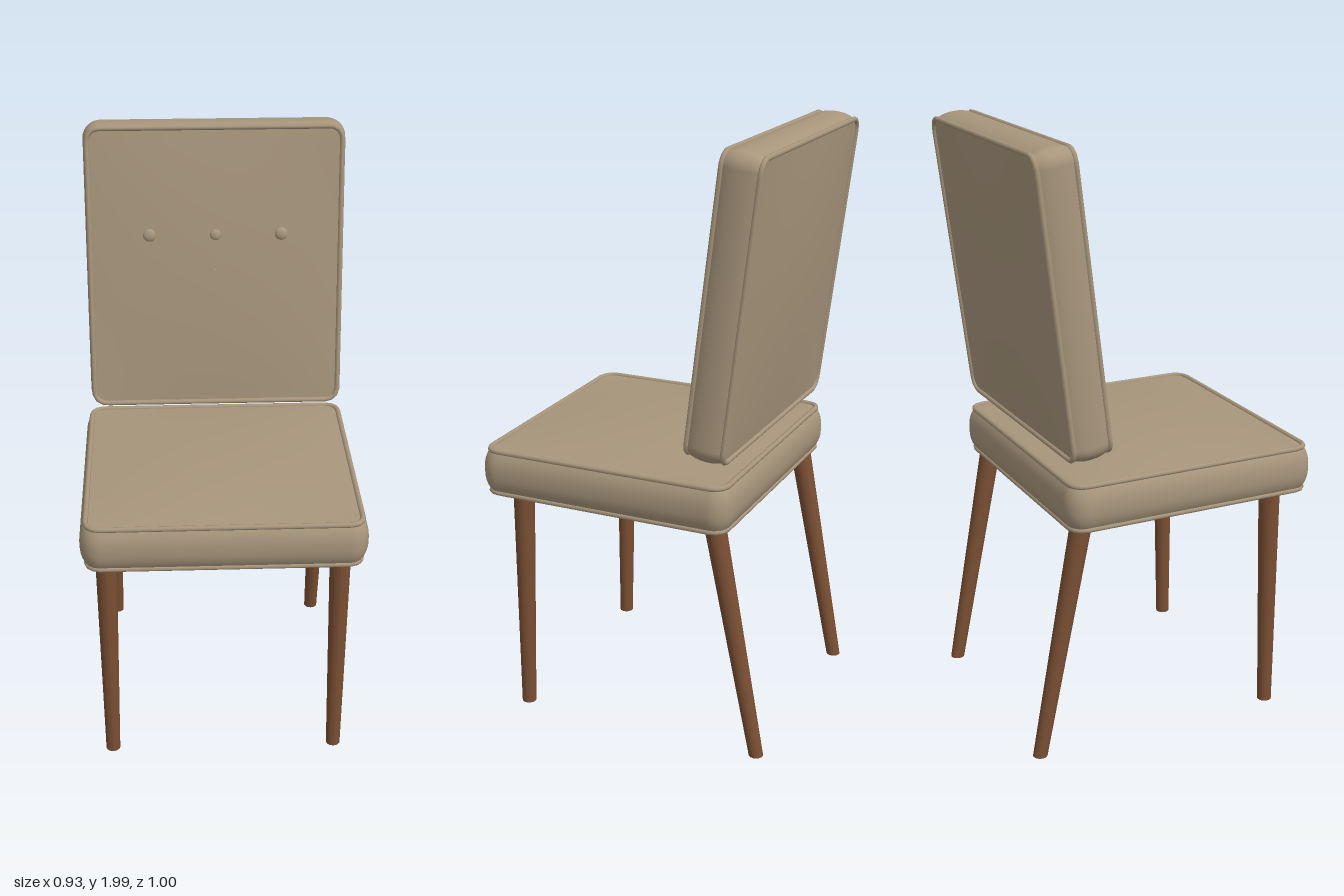
import * as THREE from 'three';

const fabric = new THREE.MeshStandardMaterial({ color: 0xa8967c });
const wood = new THREE.MeshStandardMaterial({ color: 0x7a4f33 });

// Rounded rectangle in the xz plane, with extra points along the straight sides
function outline(a, b, r) {
  const pts = [], arc = 7, side = 10;
  const corners = [[1, 1], [-1, 1], [-1, -1], [1, -1]];
  corners.forEach(([sx, sz], k) => {
    for (let i = 0; i <= arc; i++) {
      const t = (k + i / arc) * Math.PI / 2;
      pts.push(new THREE.Vector2(sx * (a - r) + r * Math.cos(t), sz * (b - r) + r * Math.sin(t)));
    }
    const [nx, nz] = corners[(k + 1) % 4], t = (k + 1) * Math.PI / 2;
    const from = pts[pts.length - 1];
    const to = new THREE.Vector2(nx * (a - r) + r * Math.cos(t), nz * (b - r) + r * Math.sin(t));
    for (let i = 1; i < side; i++) pts.push(from.clone().lerp(to, i / side));
  });
  return pts;
}

// Smooth skin over closed rings that run upward (or outward on an underside)
function loft(rings) {
  const n = rings[0].length, pos = [], idx = [];
  rings.forEach(ring => ring.forEach(p => pos.push(p.x, p.y, p.z)));
  for (let i = 0; i < rings.length - 1; i++) {
    for (let j = 0; j < n; j++) {
      const a = i * n + j, b = i * n + (j + 1) % n;
      idx.push(a, a + n, b, b, a + n, b + n);
    }
  }
  const g = new THREE.BufferGeometry();
  g.setAttribute('position', new THREE.Float32BufferAttribute(pos, 3));
  g.setIndex(idx);
  g.computeVertexNormals();
  return g;
}

function add(group, name, geometry, material) {
  const mesh = new THREE.Mesh(geometry, material);
  mesh.name = name;
  group.add(mesh);
  return mesh;
}

// Piped cushion: half width a, half depth b, half thickness h; y is the thickness
function cushion(name, { a, b, h, r, bulge, crown, pipe }) {
  const group = new THREE.Group();
  group.name = name;

  // Bulging side band
  const band = [];
  for (let i = 0; i <= 12; i++) {
    const u = i / 6 - 1, o = bulge * (1 - Math.abs(u) ** 2.5);
    band.push(outline(a + o, b + o, r + o).map(p => new THREE.Vector3(p.x, u * h, p.y)));
  }
  add(group, name + 'Band', loft(band), fabric);

  // Crowned panels on both faces, with piping around each
  const edge = outline(a, b, r);
  for (const s of [1, -1]) {
    const rings = [];
    for (let i = 0; i <= 10; i++) {
      const k = Math.max(1 - i / 10, 0.001);
      rings.push(edge.map(p => {
        const x = p.x * k, z = p.y * k;
        const dome = (1 - (x / a) ** 2) * (1 - (z / b) ** 2);
        return new THREE.Vector3(x, s * (h + crown * dome), z);
      }));
    }
    if (s < 0) rings.reverse();
    add(group, name + (s > 0 ? 'FacePanel' : 'RearPanel'), loft(rings), fabric);

    const path = new THREE.CatmullRomCurve3(
      edge.map(p => new THREE.Vector3(p.x, s * h, p.y)), true);
    add(group, name + 'Piping', new THREE.TubeGeometry(path, 160, pipe, 8, true), fabric);
  }
  return group;
}

// Tapered leg, slanted by shifting so that both ends stay level
function leg(name, x, zTop, zBottom) {
  const height = 0.81;
  const g = new THREE.CylinderGeometry(0.036, 0.024, height, 20);
  g.translate(0, height / 2, 0);
  const p = g.attributes.position;
  for (let i = 0; i < p.count; i++) {
    p.setZ(i, p.getZ(i) + THREE.MathUtils.lerp(zBottom, zTop, p.getY(i) / height));
  }
  g.computeVertexNormals();
  g.translate(x, 0, 0);
  const mesh = new THREE.Mesh(g, wood);
  mesh.name = name;
  return mesh;
}

export function createModel() {
  const chair = new THREE.Group();
  chair.name = 'chair';

  // Seat
  const seat = cushion('seat', { a: 0.442, b: 0.424, h: 0.073, r: 0.045, bulge: 0.021, crown: 0.024, pipe: 0.009 });
  seat.position.set(0, 0.868, 0.055);
  chair.add(seat);

  // Backrest, leaning backward
  const back = cushion('backrest', { a: 0.426, b: 0.48, h: 0.062, r: 0.04, bulge: 0.014, crown: 0.018, pipe: 0.009 });
  back.position.set(0, 1.5, -0.355);
  back.rotation.x = Math.PI / 2 - 0.122;
  chair.add(back);

  // Row of tufting buttons
  for (const x of [-0.223, 0, 0.223]) {
    const button = add(back, 'button', new THREE.SphereGeometry(x ? 0.022 : 0.019, 20, 12), fabric);
    button.scale.y = 0.5;
    button.position.set(x, x ? 0.076 : 0.08, -0.122);
  }

  // Legs: front pair nearly upright, rear pair raked backward
  for (const [side, s] of [['Left', 1], ['Right', -1]]) {
    chair.add(leg('front' + side + 'Leg', s * 0.383, 0.371, 0.379));
    chair.add(leg('rear' + side + 'Leg', s * 0.383, -0.318, -0.475));
  }
  return chair;
}
